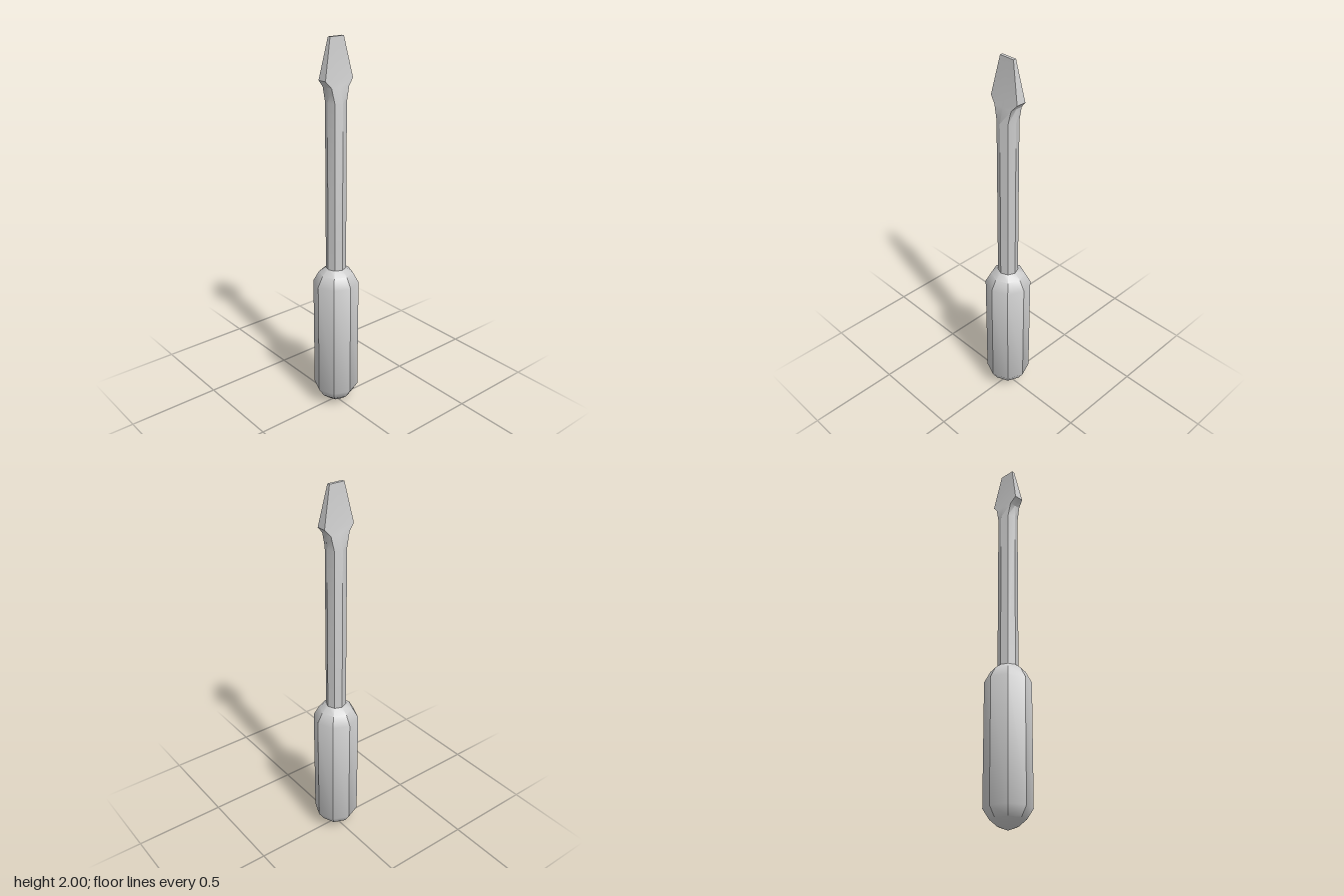
import * as THREE from 'three';
import { toCreasedNormals } from 'three/addons/utils/BufferGeometryUtils.js';

const CREASE = 0.65;
const material = new THREE.MeshStandardMaterial({ color: 0xcccccc });

function addPart(group, name, geometry) {
  const mesh = new THREE.Mesh(toCreasedNormals(geometry, CREASE), material);
  mesh.name = name;
  group.add(mesh);
}

// Eight points round the axis, starting at +z
function octagon(y, r) {
  return Array.from({ length: 8 }, (_, i) => {
    const a = (i * Math.PI) / 4;
    return [r * Math.sin(a), y, r * Math.cos(a)];
  });
}

// The same eight points pushed out onto a rectangle
function rectangle(y, x, z) {
  return octagon(y, 1).map(([px, , pz]) => [
    x * Math.sign(Math.round(px * 2)), y, z * Math.sign(Math.round(pz * 2)),
  ]);
}

// Skin a stack of eight-point rings and close the top
function loft(rings) {
  const index = [];
  for (let i = 0; i < rings.length - 1; i++) {
    for (let j = 0; j < 8; j++) {
      const k = (j + 1) % 8;
      const a = i * 8 + j, b = i * 8 + k;
      index.push(a, b, b + 8, a, b + 8, a + 8);
    }
  }
  const top = (rings.length - 1) * 8;
  for (let j = 1; j < 7; j++) index.push(top, top + j, top + j + 1);
  const geometry = new THREE.BufferGeometry();
  geometry.setAttribute('position', new THREE.Float32BufferAttribute(rings.flat(2), 3));
  geometry.setIndex(index);
  return geometry;
}

export function createModel() {
  const group = new THREE.Group();
  group.name = 'screwdriver';

  // Eight-sided grip with rounded ends
  const profile = [
    [0, 0], [0.05, 0.018], [0.088, 0.05], [0.12, 0.1],
    [0.12, 0.73], [0.09, 0.785], [0.05, 0.815], [0, 0.815],
  ].map(([r, y]) => new THREE.Vector2(r, y));
  addPart(group, 'handle', new THREE.LatheGeometry(profile, 8));

  // Eight-sided shaft flattening into a flared, tapered blade
  addPart(group, 'shaftAndBlade', loft([
    octagon(0.8, 0.053),
    octagon(1.69, 0.053),
    rectangle(1.765, 0.054, 0.034),
    rectangle(1.8, 0.085, 0.026),
    rectangle(2, 0.042, 0.008),
  ]));

  return group;
}
